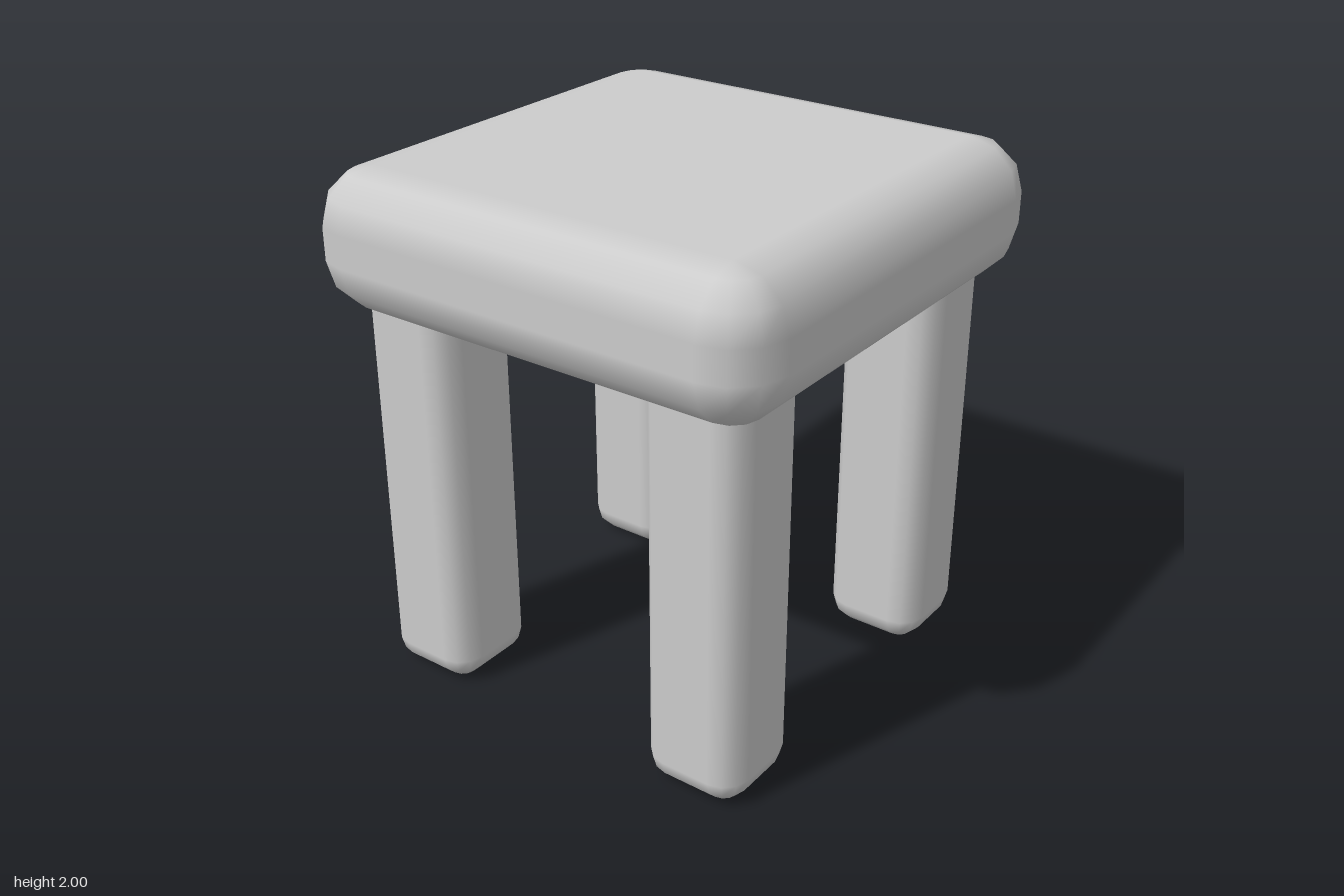
import * as THREE from 'three';

// Box with rounded edges: rings of a low-poly sphere whose eight octants are pushed apart.
function roundedBlock(width, height, depth, radius, segments = 3) {
  const positions = [], normals = [], index = [];
  const hx = width / 2 - radius, hy = height / 2 - radius, hz = depth / 2 - radius;
  const around = 4 * (segments + 1);
  const step = Math.PI / 2 / segments;

  for (const half of [-1, 1]) {
    for (let i = 0; i <= segments; i++) {
      const lat = half < 0 ? -Math.PI / 2 + i * step : i * step;
      for (let corner = 0; corner < 4; corner++) {
        const sx = corner === 0 || corner === 3 ? 1 : -1;
        const sz = corner < 2 ? 1 : -1;
        for (let j = 0; j <= segments; j++) {
          const lon = corner * Math.PI / 2 + j * step;
          const nx = Math.cos(lat) * Math.cos(lon);
          const ny = Math.sin(lat);
          const nz = Math.cos(lat) * Math.sin(lon);
          normals.push(nx, ny, nz);
          positions.push(sx * hx + nx * radius, half * hy + ny * radius, sz * hz + nz * radius);
        }
      }
    }
  }

  // Sides between neighbouring rings
  const rings = 2 * (segments + 1);
  for (let r = 0; r < rings - 1; r++) {
    for (let k = 0; k < around; k++) {
      const a = r * around + k, b = r * around + (k + 1) % around;
      index.push(a, a + around, b, b, a + around, b + around);
    }
  }

  // Flat bottom and top
  const c = segments + 1, t = (rings - 1) * around;
  index.push(0, c, 2 * c, 0, 2 * c, 3 * c);
  index.push(t, t + 2 * c, t + c, t, t + 3 * c, t + 2 * c);

  const geometry = new THREE.BufferGeometry();
  geometry.setAttribute('position', new THREE.Float32BufferAttribute(positions, 3));
  geometry.setAttribute('normal', new THREE.Float32BufferAttribute(normals, 3));
  geometry.setIndex(index);
  return geometry;
}

export function createModel() {
  const model = new THREE.Group();
  model.name = 'stool';
  const grey = new THREE.MeshStandardMaterial({ color: 0xcccccc });
  grey.name = 'plain grey';

  // Thick cushion-like seat
  const seat = new THREE.Mesh(roundedBlock(1.87, 0.52, 1.87, 0.2), grey);
  seat.name = 'seat';
  seat.position.y = 1.74;
  model.add(seat);

  // Four legs, their tops sunk into the seat
  const legGeometry = roundedBlock(0.39, 1.6, 0.39, 0.1);
  for (const [front, z] of [['front', 0.61], ['back', -0.61]]) {
    for (const [side, x] of [['Left', 0.61], ['Right', -0.61]]) {
      const leg = new THREE.Mesh(legGeometry, grey);
      leg.name = `${front}${side}Leg`;
      leg.position.set(x, 0.8, z);
      model.add(leg);
    }
  }
  return model;
}
